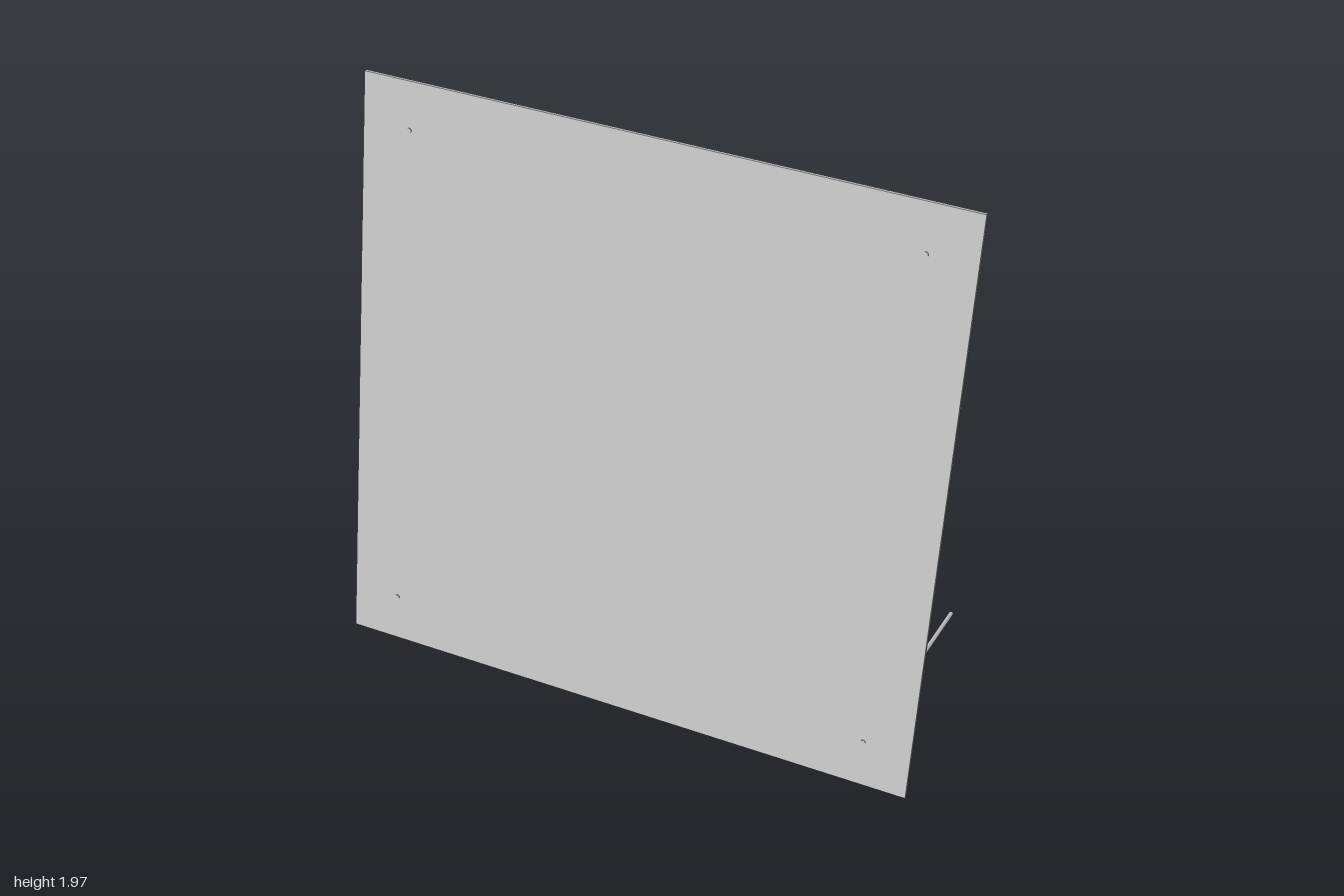
import * as THREE from 'three';

export function createModel() {
  const model = new THREE.Group();
  model.name = 'leaningPanel';
  const panelGrey = new THREE.MeshStandardMaterial({ color: 0xc8c8c8 });
  panelGrey.name = 'panelGrey';

  // Everything is laid out square to the panel, then leaned back ten degrees
  const tilted = new THREE.Group();
  tilted.name = 'tiltedAssembly';
  tilted.rotation.x = THREE.MathUtils.degToRad(-10);
  tilted.position.set(0, 0.001, 0.44);
  model.add(tilted);

  // Thin square panel
  const size = 2, thickness = 0.013, inset = 0.16;
  const panel = new THREE.Mesh(new THREE.BoxGeometry(size, size, thickness), panelGrey);
  panel.name = 'panel';
  panel.position.y = size / 2;
  tilted.add(panel);

  // Round rod running through the panel from zFront to zBack
  const addRod = (name, x, y, zFront, zBack) => {
    const geometry = new THREE.CylinderGeometry(0.008, 0.008, zFront - zBack, 16);
    geometry.rotateX(Math.PI / 2);
    const rod = new THREE.Mesh(geometry, panelGrey);
    rod.name = name;
    rod.position.set(x, y, (zFront + zBack) / 2);
    tilted.add(rod);
  };

  for (const side of [-1, 1]) {
    const x = side * (size / 2 - inset);
    const label = side > 0 ? 'left' : 'right';
    // Long support leg at the bottom, short fixing pin at the top
    addRod(label + 'SupportLeg', x, inset, 0.0095, -0.87);
    addRod(label + 'TopPin', x, size - inset, 0.0095, -0.0095);
  }
  return model;
}
